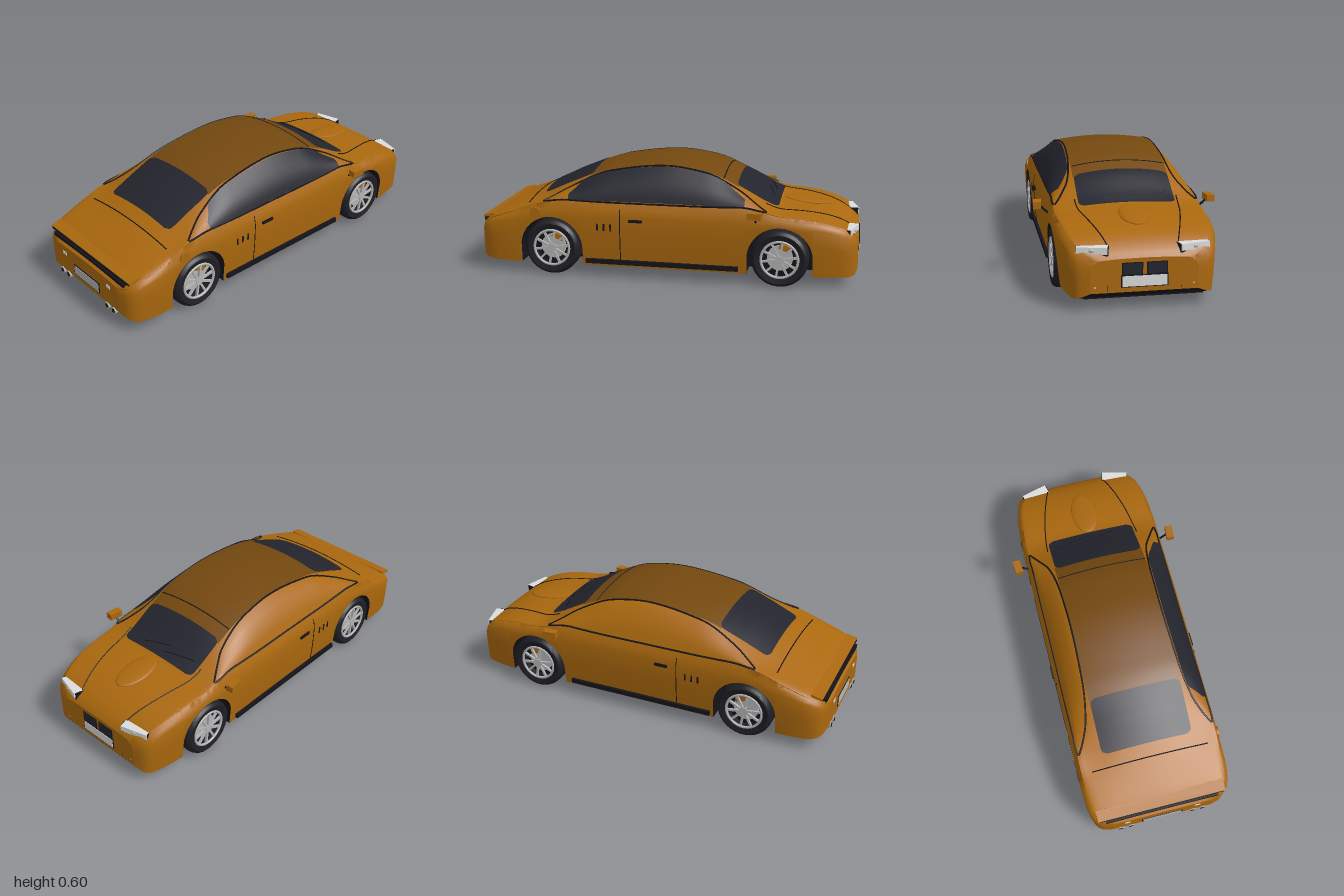
import * as THREE from 'three';
import { toCreasedNormals } from 'three/addons/utils/BufferGeometryUtils.js';

const mat = (name, color) => {
  const m = new THREE.MeshStandardMaterial({ color });
  m.name = name;
  return m;
};
const V = (x, y, z) => new THREE.Vector3(x, y, z);
const lerp = THREE.MathUtils.lerp;

// Smooth curve without overshoot through [x, value] keys
function profile(keys) {
  const n = keys.length;
  const d = keys.slice(1).map((k, i) => (k[1] - keys[i][1]) / (k[0] - keys[i][0]));
  const m = keys.map((k, i) => {
    if (i === 0) return d[0];
    if (i === n - 1) return d[n - 2];
    return d[i - 1] * d[i] <= 0 ? 0 : (2 * d[i - 1] * d[i]) / (d[i - 1] + d[i]);
  });
  return (x) => {
    let i = 0;
    while (i < n - 2 && x > keys[i + 1][0]) i++;
    const h = keys[i + 1][0] - keys[i][0], t = (x - keys[i][0]) / h, t2 = t * t, t3 = t2 * t;
    return (2 * t3 - 3 * t2 + 1) * keys[i][1] + (t3 - 2 * t2 + t) * h * m[i]
      + (3 * t2 - 2 * t3) * keys[i + 1][1] + (t3 - t2) * h * m[i + 1];
  };
}

// Body lines along the length: half widths and heights
const width = profile([[-1, .27], [-.985, .325], [-.95, .36], [-.9, .376], [-.8, .385], [.6, .385], [.7, .382], [.8, .373], [.9, .352], [.95, .335], [.98, .305], [.995, .25]]);
const floorY = profile([[-1, .1], [-.985, .08], [-.95, .065], [-.9, .06], [.95, .06], [.98, .068], [.995, .09]]);
const shoulderY = profile([[-1, .21], [-.95, .25], [-.9, .27], [-.8, .29], [-.5, .32], [0, .33], [.6, .315], [.8, .305], [.9, .28], [.95, .25], [.995, .2]]);
const beltW = profile([[-1, .25], [-.985, .3], [-.95, .335], [-.9, .355], [-.8, .365], [0, .36], [.6, .362], [.8, .345], [.9, .32], [.95, .295], [.98, .26], [.995, .22]]);
const beltY = profile([[-1, .235], [-.95, .275], [-.9, .295], [-.8, .33], [-.64, .385], [-.5, .4], [.4, .4], [.54, .378], [.6, .365], [.7, .358], [.8, .345], [.9, .318], [.95, .29], [.98, .262], [.995, .235]]);
const roofW = profile([[-1, .22], [-.95, .3], [-.9, .31], [-.64, .31], [-.5, .275], [-.3, .25], [0, .24], [.2, .245], [.38, .26], [.54, .31], [.7, .3], [.8, .29], [.9, .265], [.95, .245], [.995, .18]]);
const roofY = profile([[-1, .25], [-.95, .285], [-.9, .31], [-.8, .345], [-.64, .395], [-.5, .465], [-.3, .545], [0, .58], [.2, .555], [.38, .48], [.54, .39], [.6, .374], [.7, .367], [.8, .352], [.9, .322], [.95, .293], [.98, .267], [.995, .245]]);
const crownY = profile([[-1, .255], [-.95, .293], [-.9, .32], [-.8, .36], [-.64, .435], [-.5, .5], [-.3, .567], [0, .6], [.2, .578], [.38, .51], [.54, .418], [.6, .392], [.7, .38], [.8, .362], [.9, .328], [.95, .298], [.98, .271], [.995, .25]]);

const AXLES = [-.59, .605], WHEEL_Y = .147, ARCH = .167;
const edgeY = (x) => Math.max(floorY(x), ...AXLES.map((c) =>
  Math.abs(x - c) <= ARCH ? WHEEL_Y + Math.sqrt(Math.max(0, ARCH ** 2 - (x - c) ** 2)) : 0));
const sideZ = (x, y) => width(x) * (1 - .05 * (Math.max(0, shoulderY(x) - y) / .27) ** 2);
const topY = (x, z) => roofY(x) + (crownY(x) - roofY(x)) * (1 - (z / roofW(x)) ** 2);
// Greenhouse side: s runs from the belt (0) to the roof edge (1)
const cabin = (x, s, out = 0) => V(x, lerp(beltY(x), roofY(x), s) + out * .6,
  lerp(beltW(x), roofW(x), s) + .02 * Math.sin(Math.PI * s) + out);

// Half cross-section from the lower edge to the crown
function halfSection(x) {
  const y0 = edgeY(x), sh = Math.max(shoulderY(x), y0 + .004), w = width(x), p = [];
  for (const t of [0, .33, .66, 1]) p.push(V(x, lerp(y0, sh, t), sideZ(x, lerp(y0, sh, t))));
  p.push(V(x, lerp(sh, beltY(x), .55), lerp(w, beltW(x), .33)));
  for (const s of [0, .25, .5, .75, 1]) p.push(cabin(x, s));
  for (const s of [.75, .5, .25, 0]) p.push(V(x, topY(x, roofW(x) * s), roofW(x) * s));
  return p;
}
const flip = (p) => V(p.x, p.y, -p.z);

// Surface through rows of points
function gridGeo(rows, crease = .7) {
  const n = rows[0].length, idx = [];
  for (let i = 0; i < rows.length - 1; i++) for (let j = 0; j < n - 1; j++) {
    const a = i * n + j, b = a + n;
    idx.push(a, b, b + 1, a, b + 1, a + 1);
  }
  const g = new THREE.BufferGeometry().setFromPoints(rows.flat());
  g.setIndex(idx);
  return toCreasedNormals(g, crease);
}
const range = (a, b, n) => Array.from({ length: n + 1 }, (_, i) => lerp(a, b, i / n));

export function createModel() {
  const car = new THREE.Group();
  car.name = 'car';
  const paint = mat('amber paint', 0xaa680e), roofPaint = mat('brown roof', 0x74480f),
    glass = mat('dark glass', 0x24242e), black = mat('black trim', 0x15141a),
    rubber = mat('tyre rubber', 0x1e1e24), silver = mat('silver', 0xb4b4b4), white = mat('white', 0xdcdcdc);

  const add = (name, geo, m, x = 0, y = 0, z = 0, parent = car) => {
    const mesh = new THREE.Mesh(geo, m);
    mesh.name = name;
    mesh.position.set(x, y, z);
    parent.add(mesh);
    return mesh;
  };
  const box = (name, m, sx, sy, sz, x, y, z, parent) => add(name, new THREE.BoxGeometry(sx, sy, sz), m, x, y, z, parent);
  const line = (name, pts, r = .003, m = black) =>
    add(name, new THREE.TubeGeometry(new THREE.CatmullRomCurve3(pts), pts.length * 4, r, 5), m);

  // Body shell with wheel arches, and the floor with wheel wells
  let xs = [-1, -.993, -.985, -.97, .97, .98, .988, .995, ...range(-.95, .95, 60)];
  for (const c of AXLES) {
    xs = xs.filter((x) => Math.abs(x - c) > ARCH + .004);
    xs.push(c - ARCH - .0005, c + ARCH + .0005, ...range(0, Math.PI, 24).map((a) => c - ARCH * Math.cos(a)));
  }
  xs.sort((a, b) => a - b);
  const halves = xs.map(halfSection);
  add('bodyShell', gridGeo(halves.map((h) => [...h, ...h.slice(0, -1).reverse().map(flip)])), paint);
  add('underside', gridGeo(halves.map((h) => {
    const e = h[0], zi = Math.min(.24, e.z * .9), yb = floorY(e.x);
    const half = [e, V(e.x, e.y, zi), V(e.x, yb, zi)];
    return [...half.map(flip), ...half.reverse()];
  })), black);
  add('nosePanel', gridGeo(halves.at(-1).map((p) => [flip(p), p])), paint);
  add('tailPanel', gridGeo(halves[0].map((p) => [p, flip(p)])), paint);

  // Roof skin and front and rear windows
  const topPatch = (name, m, x0, x1, halfW, lift, round = 0) => add(name, gridGeo(range(x0, x1, 24).map((x) => {
    const d = Math.max(0, round - Math.min(x - x0, x1 - x));
    const w = halfW(x) - (round ? round - Math.sqrt(Math.max(0, round ** 2 - d ** 2)) : 0);
    return range(w, -w, 16).map((z) => V(x, topY(x, z) + lift, z));
  })), m);
  topPatch('roofSkin', roofPaint, -.41, .385, (x) => Math.min(.243, roofW(x)), .003);
  topPatch('windscreen', glass, .37, .585, () => .24, .006, .03);
  topPatch('rearWindow', glass, -.665, -.395, () => .24, .006, .03);

  // Side glass, on the left flank only
  const lens = (x) => Math.sqrt(Math.max(0, 1 - Math.abs((x + .05) / .585) ** 5));
  add('sideWindow', gridGeo(range(-.5, .42, 32).map((x) => {
    const hi = .5 + .47 * Math.min(1, (x + .5) / .06, .35 + (.42 - x) / .16);
    return range(.03, hi, 6).map((s) => cabin(x, s, .004));
  })), glass);

  // Panel seams
  line('roofSeam', range(-.24, .24, 8).map((z) => V(.3, topY(.3, z) + .003, z)));
  line('bootSeam', range(-.31, .31, 8).map((z) => V(-.73, topY(-.73, z) + .001, z)));
  for (const s of [1, -1]) {
    const side = (p) => (s > 0 ? p : flip(p));
    for (const k of [-.5, .5]) line('windowTrim', range(-.634, .534, 28).map((x) => side(cabin(x, .5 + k * lens(x), .001))), .005);
    line('bonnetSeam', range(.52, .945, 10).map((x) => {
      const z = lerp(.255, .165, ((x - .52) / .425) ** 1.6);
      return V(x, topY(x, z) + .001, z * s);
    }));

    // Door line, handle, vents and sill
    line('doorSeam', range(.1, .37, 6).map((y) => V(-.22, y, s * (y > .34 ? .376 : sideZ(-.22, y)))), .0025);
    box('doorHandle', black, .07, .014, .012, -.137, .313, s * .387);
    for (const x of [-.34, -.305, -.27]) box('sideVent', black, .008, .036, .006, x, .272, s * .384);
    box('sill', black, .8, .024, .022, -.005, .086, s * .374);

    // Door mirror on its arm
    line('mirrorArm', [V(.48, .335, s * .376), V(.482, .355, s * .4), V(.482, .376, s * .422)], .006);
    box('mirror', paint, .072, .034, .04, .48, .383, s * .434).rotation.y = s * -.1;

    // Headlamp and fog lamp
    const lamp = new THREE.Group();
    lamp.name = 'headlamp';
    lamp.position.set(.95, .284, s * .235);
    lamp.rotation.y = s * -.26;
    car.add(lamp);
    box('lampHousing', black, .05, .04, .15, -.006, -.003, 0, lamp);
    box('lampLens', white, .05, .031, .144, 0, .002, 0, lamp);
    add('lampBulb', new THREE.SphereGeometry(.013, 12, 8).scale(.5, .7, 1), silver, .025, .002, 0, lamp);
    box('fogRecess', black, .05, .027, .106, .958, .112, s * .215).rotation.y = s * -.25;
    add('fogLamp', new THREE.SphereGeometry(.014, 14, 10), white, .982, .118, s * .229);

    // Grille half and twin exhausts
    box('grille', black, .02, .058, .096, .989, .201, s * .057);
    box('grilleMesh', glass, .02, .05, .086, .991, .201, s * .057);
    for (const z of [.17, .225]) {
      add('exhaustPipe', new THREE.CylinderGeometry(.018, .018, .06, 18).rotateZ(Math.PI / 2), silver, -.975, .088, s * z);
      add('exhaustBore', new THREE.CylinderGeometry(.012, .012, .004, 16).rotateZ(Math.PI / 2), black, -1.005 + .0005, .088, s * z);
    }
    box('tailReflector', white, .006, .016, .03, -1, .21, s * .19);
  }

  // Bonnet bulge and wipers
  add('bonnetBulge', new THREE.SphereGeometry(1, 28, 12).scale(.13, .012, .07), paint, .72, .378, 0).rotation.z = -.11;
  for (const [z0, z1] of [[.12, -.04], [-.02, -.2]])
    line('wiper', range(0, 1, 4).map((t) => {
      const x = lerp(.555, .515, t), z = lerp(z0, z1, t);
      return V(x, topY(x, z) + .01, z);
    }), .0025);

  // Number plates and front lip
  box('frontPlateFrame', black, .02, .058, .218, .988, .142, 0);
  box('frontPlate', white, .02, .05, .208, .99, .142, 0);
  box('rearPlateFrame', black, .01, .058, .22, -.998, .155, 0);
  box('rearPlate', silver, .01, .048, .208, -1, .155, 0);
  box('frontLip', black, .04, .018, .56, .955, .068, 0);

  // Tail spoiler over a dark light strip
  box('lightStrip', black, .04, .02, .6, -.968, .268, 0);
  box('spoiler', paint, .06, .012, .68, -.946, .296, 0).rotation.z = .22;
  box('spoilerEdge', black, .004, .01, .66, -.976, .285, 0);

  // Fuel cap
  add('fuelCap', new THREE.CylinderGeometry(.03, .03, .014, 24).rotateX(Math.PI / 2), paint, -.675, .33, .378);

  // Wheels
  const tyreProfile = [[.098, -.05], [.128, -.0575], [.14, -.05], [.146, -.035], [.147, -.014], [.141, -.012], [.141, -.006], [.147, -.004],
    [.147, .004], [.141, .006], [.141, .012], [.147, .014], [.146, .035], [.14, .05], [.128, .0575], [.098, .05], [.098, -.05]];
  const tyreGeo = toCreasedNormals(new THREE.LatheGeometry(tyreProfile.map(([r, y]) => new THREE.Vector2(r, y)), 40).rotateX(Math.PI / 2), .7);
  const disc = (r, d) => new THREE.CylinderGeometry(r, r, d, 32).rotateX(Math.PI / 2);
  for (const x of AXLES) for (const s of [1, -1]) {
    const wheel = new THREE.Group();
    wheel.name = 'wheel';
    wheel.position.set(x, WHEEL_Y, s * .3275);
    if (s < 0) wheel.rotation.y = Math.PI;
    car.add(wheel);
    add('tyre', tyreGeo, rubber, 0, 0, 0, wheel);
    add('wheelBack', disc(.099, .03), black, 0, 0, -.01, wheel);
    add('brakeDisc', disc(.066, .012), silver, 0, 0, .012, wheel);
    box('brakeCaliper', paint, .06, .028, .02, s * .025, .055, .02, wheel).rotation.z = s * -.4;
    add('rimRing', new THREE.TorusGeometry(.094, .007, 8, 40), silver, 0, 0, .05, wheel);
    for (let i = 0; i < 10; i++) {
      const a = (i / 10) * Math.PI * 2 + .15;
      box('spoke', silver, .08, .011, .012, Math.cos(a) * .053, Math.sin(a) * .053, .046, wheel).rotation.z = a;
    }
    add('hub', disc(.022, .02), silver, 0, 0, .046, wheel);
  }
  return car;
}
